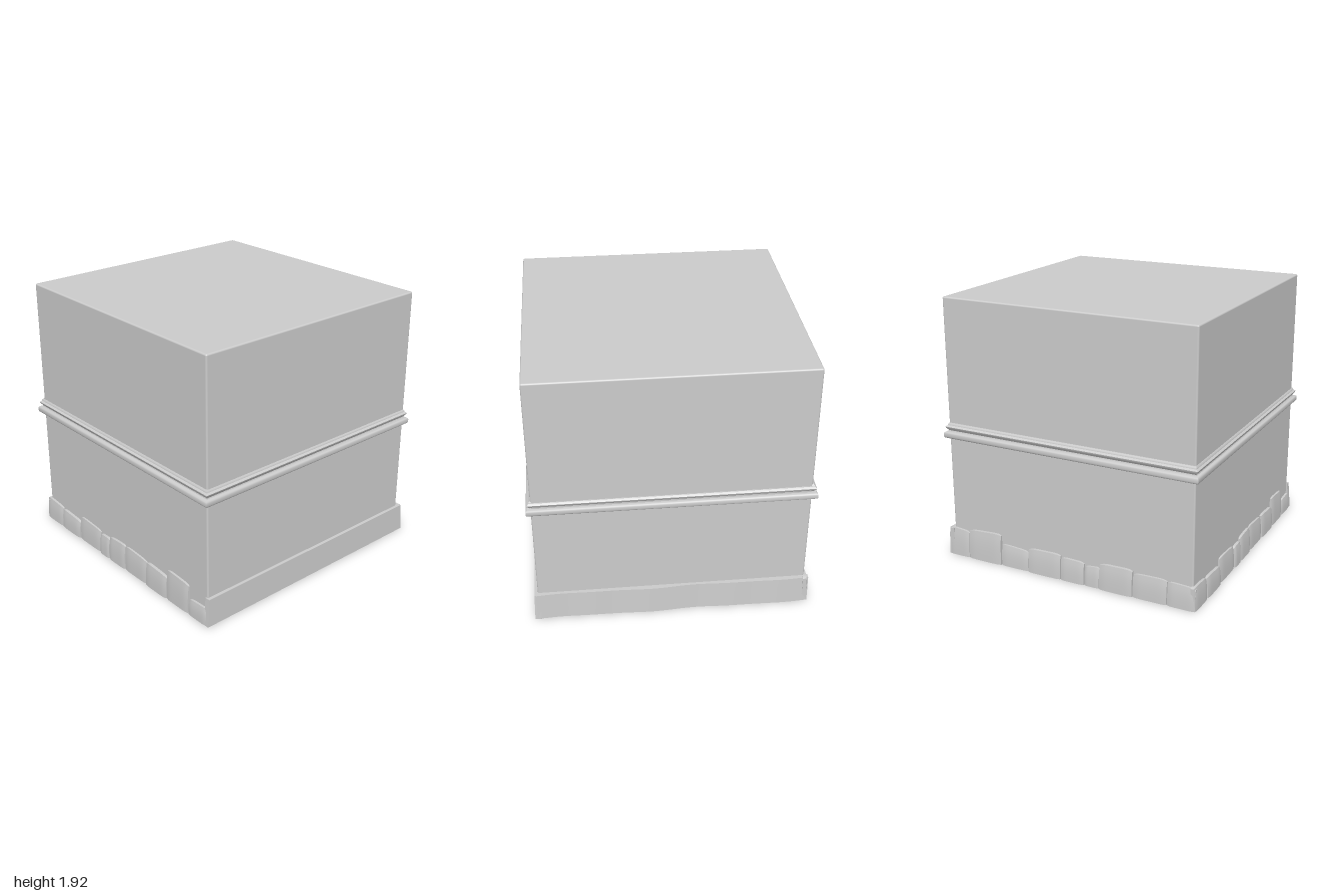
import * as THREE from 'three';
import { toCreasedNormals } from 'three/addons/utils/BufferGeometryUtils.js';
import { RoundedBoxGeometry } from 'three/addons/geometries/RoundedBoxGeometry.js';

const material = new THREE.MeshStandardMaterial({ color: 0xcccccc });

function part(name, geometry, parent) {
  const mesh = new THREE.Mesh(geometry, material);
  mesh.name = name;
  parent.add(mesh);
  return mesh;
}

// Moves every vertex of a geometry by a rule, then splits the sharp edges
function reshape(geometry, rule) {
  const pos = geometry.attributes.position;
  const v = new THREE.Vector3();
  for (let i = 0; i < pos.count; i++) {
    rule(v.fromBufferAttribute(pos, i));
    pos.setXYZ(i, v.x, v.y, v.z);
  }
  return toCreasedNormals(geometry, 0.6);
}

// Slab with a sloping top, rounded top corners and a bulging outer face
function stoneGeometry(width, h0, h1, depth) {
  const geo = new THREE.BoxGeometry(width, 1, 1, 10, 6, 2);
  return reshape(geo, (v) => {
    const u = v.x / width + 0.5;
    const t = v.y + 0.5;
    const edge = Math.pow(Math.abs(2 * u - 1), 6);
    const height = THREE.MathUtils.lerp(h0, h1, u) - 0.012 * edge;
    const bulge = depth - 0.007 * edge - 0.012 * t * t * t;
    v.y = t * height;
    v.z = (v.z + 0.5) * bulge;
  });
}

// Row of stones: each entry is [start, end, height at start, height at end]
function stoneRow(name, length, stones) {
  const row = new THREE.Group();
  row.name = name;
  stones.forEach(([a, b, h0, h1], i) => {
    const width = (b - a) * length - 0.006;
    const depth = 0.042 + 0.004 * Math.sin(i * 2.3);
    const stone = part('stone', stoneGeometry(width, h0, h1, depth), row);
    stone.position.x = ((a + b) / 2 - 0.5) * length;
  });
  return row;
}

export function createModel() {
  const model = new THREE.Group();
  model.name = 'buildingBlock';

  // Main block
  const body = part('body', new RoundedBoxGeometry(1.905, 1.915, 1.915, 3, 0.012), model);
  body.position.set(-0.0075, 0.9675, 0.0025);

  // Moulding around the middle, a square sweep of one profile
  const profile = [
    [0.93, 0.908], [0.982, 0.908], [0.99, 0.913], [0.993, 0.922],
    [0.993, 0.942], [0.99, 0.95], [0.982, 0.955], [0.968, 0.957],
    [0.966, 0.964], [0.97, 0.97], [0.981, 0.984], [0.983, 0.992],
    [0.976, 0.998], [0.97, 1.002], [0.968, 1.013], [0.963, 1.018], [0.93, 1.018],
  ].map(([r, y]) => new THREE.Vector2(r * Math.SQRT2, y));
  const ring = new THREE.LatheGeometry(profile, 4);
  ring.rotateY(Math.PI / 4);
  ring.scale(0.988, 1, 1);
  const moulding = part('moulding', toCreasedNormals(ring, 0.7), model);
  moulding.position.x = -0.0125;

  // Plain front skirting with slanted ends
  const frontGeo = reshape(new THREE.BoxGeometry(1.975, 0.207, 0.045, 8, 2, 1), (v) => {
    const t = v.y / 0.207 + 0.5;
    v.x *= 1 - 0.018 * t;
    if (v.z > 0) v.z -= 0.006 * t;
  });
  part('frontSkirting', frontGeo, model).position.set(0.002, 0.1035, 0.967);

  // Slightly wavy skirting on the +x side
  const sideGeo = reshape(new THREE.BoxGeometry(0.05, 0.207, 1.955, 1, 3, 40), (v) => {
    const t = v.y / 0.207 + 0.5;
    if (v.x > 0) v.x += 0.006 * Math.sin(v.z * 7) + 0.003 * Math.sin(v.z * 13) - 0.012 * t;
  });
  part('sideSkirting', sideGeo, model).position.set(0.961, 0.1035, -0.005);

  // Uneven stones along the back
  const back = stoneRow('backStones', 1.97, [
    [0, 0.09, 0.215, 0.2], [0.09, 0.23, 0.22, 0.235], [0.23, 0.345, 0.165, 0.15],
    [0.345, 0.48, 0.18, 0.185], [0.48, 0.575, 0.17, 0.165], [0.575, 0.635, 0.145, 0.155],
    [0.635, 0.765, 0.19, 0.195], [0.765, 0.895, 0.175, 0.18], [0.895, 1, 0.175, 0.165],
  ]);
  back.rotation.y = Math.PI;
  back.position.z = -0.943;
  model.add(back);

  // Uneven stones along the -x side
  const side = stoneRow('sideStones', 1.95, [
    [0, 0.11, 0.175, 0.16], [0.11, 0.233, 0.155, 0.14], [0.233, 0.37, 0.19, 0.175],
    [0.37, 0.43, 0.16, 0.165], [0.43, 0.53, 0.185, 0.195], [0.53, 0.66, 0.195, 0.18],
    [0.66, 0.78, 0.185, 0.17], [0.78, 0.9, 0.235, 0.22], [0.9, 1, 0.12, 0.13],
  ]);
  side.rotation.y = -Math.PI / 2;
  side.position.set(-0.948, 0, -0.005);
  model.add(side);

  return model;
}
